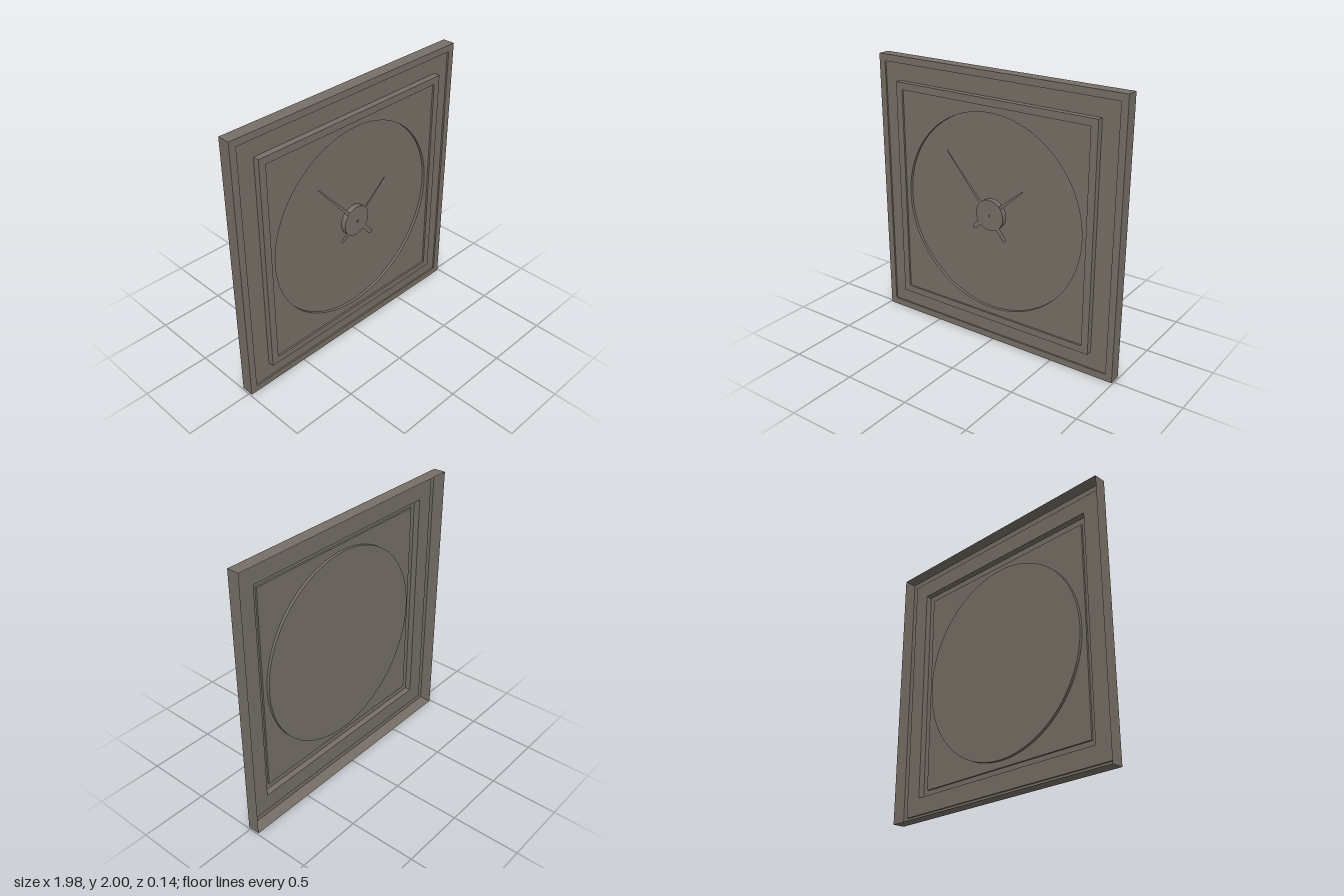
import * as THREE from 'three';

const CENTRE_Y = 1;

// Stepped rectangular sheet through rings of [half width, half height, z]
function steppedSheet(rings) {
  const corners = [[-1, -1], [1, -1], [1, 1], [-1, 1]];
  const positions = [];
  const point = (ring, i) => {
    const [sx, sy] = corners[i % 4];
    return [sx * ring[0], CENTRE_Y + sy * ring[1], ring[2]];
  };
  for (let k = 0; k < rings.length - 1; k++) {
    for (let i = 0; i < 4; i++) {
      const a = point(rings[k], i), b = point(rings[k], i + 1);
      const c = point(rings[k + 1], i + 1), d = point(rings[k + 1], i);
      positions.push(...a, ...b, ...c, ...a, ...c, ...d);
    }
  }
  const geometry = new THREE.BufferGeometry();
  geometry.setAttribute('position', new THREE.Float32BufferAttribute(positions, 3));
  geometry.computeVertexNormals();
  return geometry;
}

// Flat hand pointing up: tapered blade and a round-ended tail
function handGeometry(length, tail, blade, tip, tailWidth) {
  const r = tailWidth / 2;
  const shape = new THREE.Shape();
  shape.moveTo(r, 0);
  shape.lineTo(r, 0.085);
  shape.lineTo(blade / 2, 0.095);
  shape.lineTo(tip / 2, length);
  shape.lineTo(-tip / 2, length);
  shape.lineTo(-blade / 2, 0.095);
  shape.lineTo(-r, 0.085);
  shape.lineTo(-r, -tail + r);
  shape.absarc(0, -tail + r, r, Math.PI, Math.PI * 2, false);
  shape.closePath();
  return new THREE.ShapeGeometry(shape, 8);
}

export function createModel() {
  const model = new THREE.Group();
  model.name = 'wallClock';
  const taupe = new THREE.MeshStandardMaterial({ color: 0x766f66, side: THREE.DoubleSide });
  taupe.name = 'taupe';

  const add = (name, geometry, y = 0, z = 0) => {
    const mesh = new THREE.Mesh(geometry, taupe);
    mesh.name = name;
    mesh.position.set(0, y, z);
    model.add(mesh);
    return mesh;
  };

  // Outer frame, open at the back, with a shallow recessed border
  add('outerFrame', steppedSheet([
    [0.99, 1, -0.07], [0.99, 1, 0.02], [0.94, 0.95, 0.02],
    [0.94, 0.95, 0.008], [0.813, 0.825, 0.008],
  ]));

  // Raised inner frame around the face panel
  add('innerFrame', steppedSheet([
    [0.813, 0.825, 0.008], [0.813, 0.825, 0.053],
    [0.761, 0.773, 0.053], [0.761, 0.773, 0.04],
  ]));

  // Face panel with a round opening
  const R = 0.726;
  const panel = new THREE.Shape();
  panel.moveTo(-0.761, -0.773);
  panel.lineTo(0.761, -0.773);
  panel.lineTo(0.761, 0.773);
  panel.lineTo(-0.761, 0.773);
  panel.closePath();
  panel.holes.push(new THREE.Path().absarc(0, 0, R, 0, Math.PI * 2, true));
  add('facePanel', new THREE.ShapeGeometry(panel, 48), CENTRE_Y, 0.04);

  // Sunken round dial
  const rim = new THREE.CylinderGeometry(R, R, 0.02, 96, 1, true).rotateX(Math.PI / 2);
  add('dialRim', rim, CENTRE_Y, 0.03);
  add('dial', new THREE.CircleGeometry(R, 96), CENTRE_Y, 0.02);

  // Hub, hands and centre pin
  add('hub', new THREE.CylinderGeometry(0.113, 0.113, 0.038, 48).rotateX(Math.PI / 2), CENTRE_Y, 0.039);
  const hour = add('hourHand', handGeometry(0.362, 0.187, 0.024, 0.008, 0.034), CENTRE_Y, 0.054);
  hour.rotation.z = THREE.MathUtils.degToRad(-49.5);
  const minute = add('minuteHand', handGeometry(0.547, 0.215, 0.026, 0.007, 0.034), CENTRE_Y, 0.063);
  minute.rotation.z = THREE.MathUtils.degToRad(41);
  add('centrePin', new THREE.CylinderGeometry(0.008, 0.008, 0.012, 16).rotateX(Math.PI / 2), CENTRE_Y, 0.064);

  return model;
}
